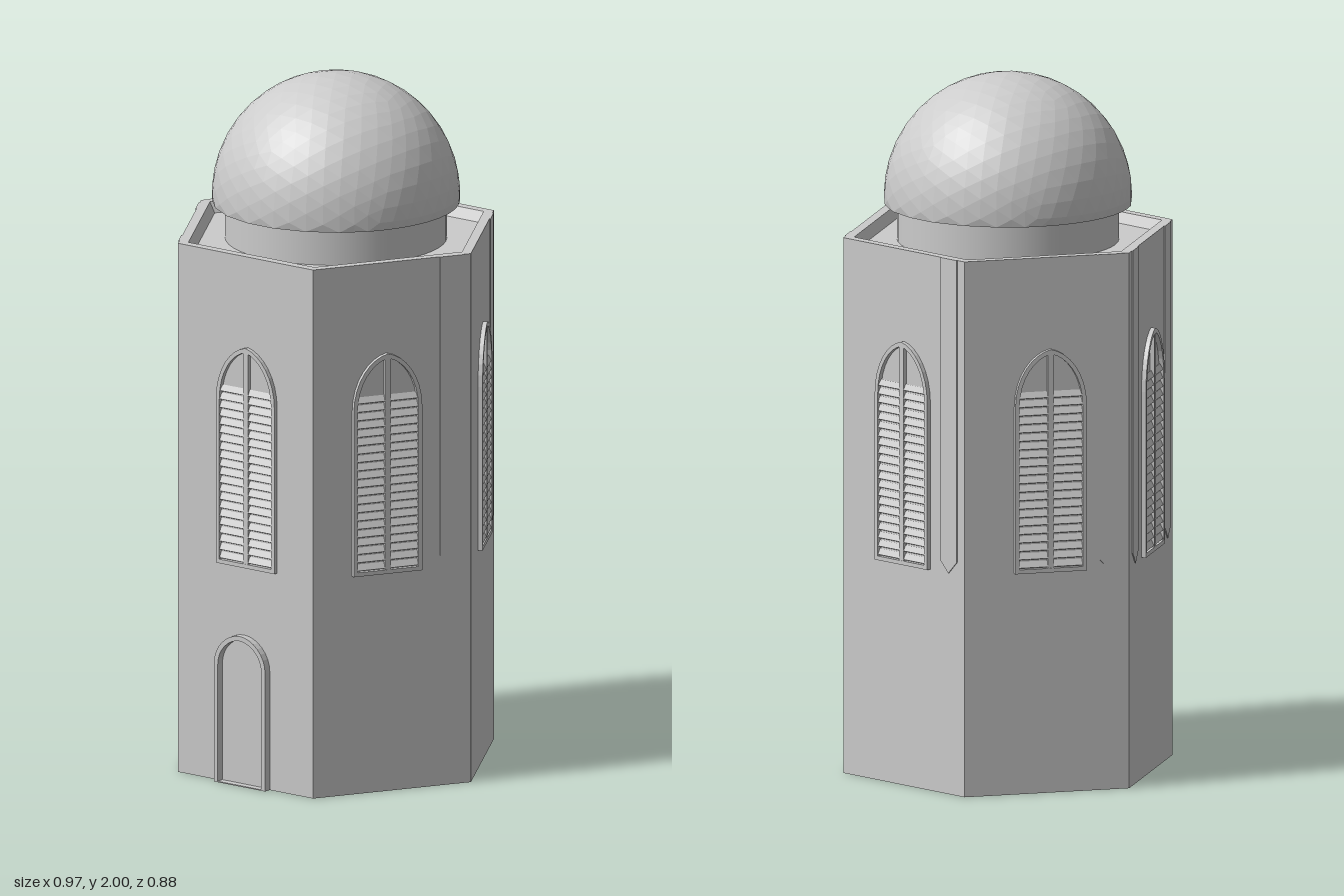
import * as THREE from 'three';

const RADIUS = 0.484;
const APOTHEM = RADIUS * Math.cos(Math.PI / 6);
const grey = new THREE.MeshStandardMaterial({ color: 0xcccccc, flatShading: true });

function add(parent, name, geometry, x = 0, y = 0, z = 0) {
  const mesh = new THREE.Mesh(geometry, grey);
  mesh.name = name;
  mesh.position.set(x, y, z);
  parent.add(mesh);
  return mesh;
}

// Arch outline: straight jambs, then a gently pointed or round head
function archOutline(Type, half, bottom, spring, top, tipHandle) {
  const s = new Type();
  const rise = (top - spring) * 0.56;
  s.moveTo(-half, bottom);
  s.lineTo(half, bottom);
  s.lineTo(half, spring);
  s.bezierCurveTo(half, spring + rise, half * 0.5, top - tipHandle, 0, top);
  s.bezierCurveTo(-half * 0.5, top - tipHandle, -half, spring + rise, -half, spring);
  s.lineTo(-half, bottom);
  return s;
}

function extrude(shape, depth) {
  return new THREE.ExtrudeGeometry(shape, { depth: depth + 0.004, bevelEnabled: false, curveSegments: 8 })
    .translate(0, 0, -0.004);
}

// Arched window with frame, mullion and two columns of tilted slats
function makeWindow() {
  const g = new THREE.Group();
  g.name = 'louveredWindow';
  const frame = archOutline(THREE.Shape, 0.105, 0.64, 1.12, 1.285, 0.01);
  frame.holes.push(archOutline(THREE.Path, 0.093, 0.652, 1.12, 1.272, 0.01));
  add(g, 'windowFrame', extrude(frame, 0.013));
  add(g, 'mullion', new THREE.BoxGeometry(0.018, 0.63, 0.013), 0, 0.96, 0.0055);
  const slat = new THREE.BoxGeometry(0.084, 0.019, 0.005);
  for (let i = 0; i < 21; i++) {
    for (const side of [-1, 1]) {
      add(g, 'slat', slat, side * 0.051, 0.664 + i * 0.0245, 0.005).rotation.x = -0.45;
    }
  }
  return g;
}

// Flat corner strip with a pointed foot
function makeStrip() {
  const s = new THREE.Shape();
  s.moveTo(0, 0.64);
  s.lineTo(0.033, 0.675);
  s.lineTo(0.033, 1.55);
  s.lineTo(-0.033, 1.55);
  s.lineTo(-0.033, 0.675);
  return extrude(s, 0.003);
}

export function createModel() {
  const model = new THREE.Group();
  model.name = 'domedTower';
  const tower = new THREE.Group();
  tower.name = 'tower';
  tower.position.z = -0.005;
  tower.rotation.y = 0.0105;
  model.add(tower);

  // Hollow six-sided shaft, open below, with a recessed roof and parapet
  const profile = [
    [0, 1.5], [0.425, 1.5], [0.425, 0], [RADIUS, 0], [RADIUS, 1.55],
    [0.452, 1.55], [0.435, 1.52], [0, 1.52],
  ].map(([r, y]) => new THREE.Vector2(r, y));
  add(tower, 'shaft', new THREE.LatheGeometry(profile, 6, Math.PI / 2));

  // Windows and corner strips, face by face from the front
  const windowShift = [0.009, -0.017, 0.011, 0.001, 0.009, 0];
  const stripPlaces = [[], [0.18], [0.18], [0.18], [0.18], [-0.18, 0.18]];
  for (let k = 0; k < 6; k++) {
    const face = new THREE.Group();
    face.name = 'wallFace';
    face.rotation.y = k * Math.PI / 3;
    tower.add(face);
    const win = makeWindow();
    win.position.set(windowShift[k], 0, APOTHEM);
    face.add(win);
    for (const x of stripPlaces[k]) add(face, 'cornerStrip', makeStrip(), x, 0, APOTHEM);
  }

  // Door surround
  const door = archOutline(THREE.Shape, 0.092, 0, 0.345, 0.44, 0);
  door.holes.push(archOutline(THREE.Path, 0.078, 0.003, 0.345, 0.426, 0));
  add(tower, 'doorFrame', extrude(door, 0.022), -0.0045, 0, APOTHEM);

  // Drum under the dome
  const drum = add(tower, 'drum', new THREE.CylinderGeometry(0.315, 0.315, 0.12, 48, 1, true), 0, 1.57, 0);
  drum.material = new THREE.MeshStandardMaterial({ color: 0xcccccc });

  // Faceted dome, cut flat a little below its widest ring
  const dome = new THREE.IcosahedronGeometry(0.352, 7);
  const p = dome.attributes.position;
  for (let i = 0; i < p.count; i++) p.setY(i, Math.max(p.getY(i), -0.023));
  dome.computeVertexNormals();
  add(tower, 'dome', dome, 0, 1.648, 0);

  return model;
}
